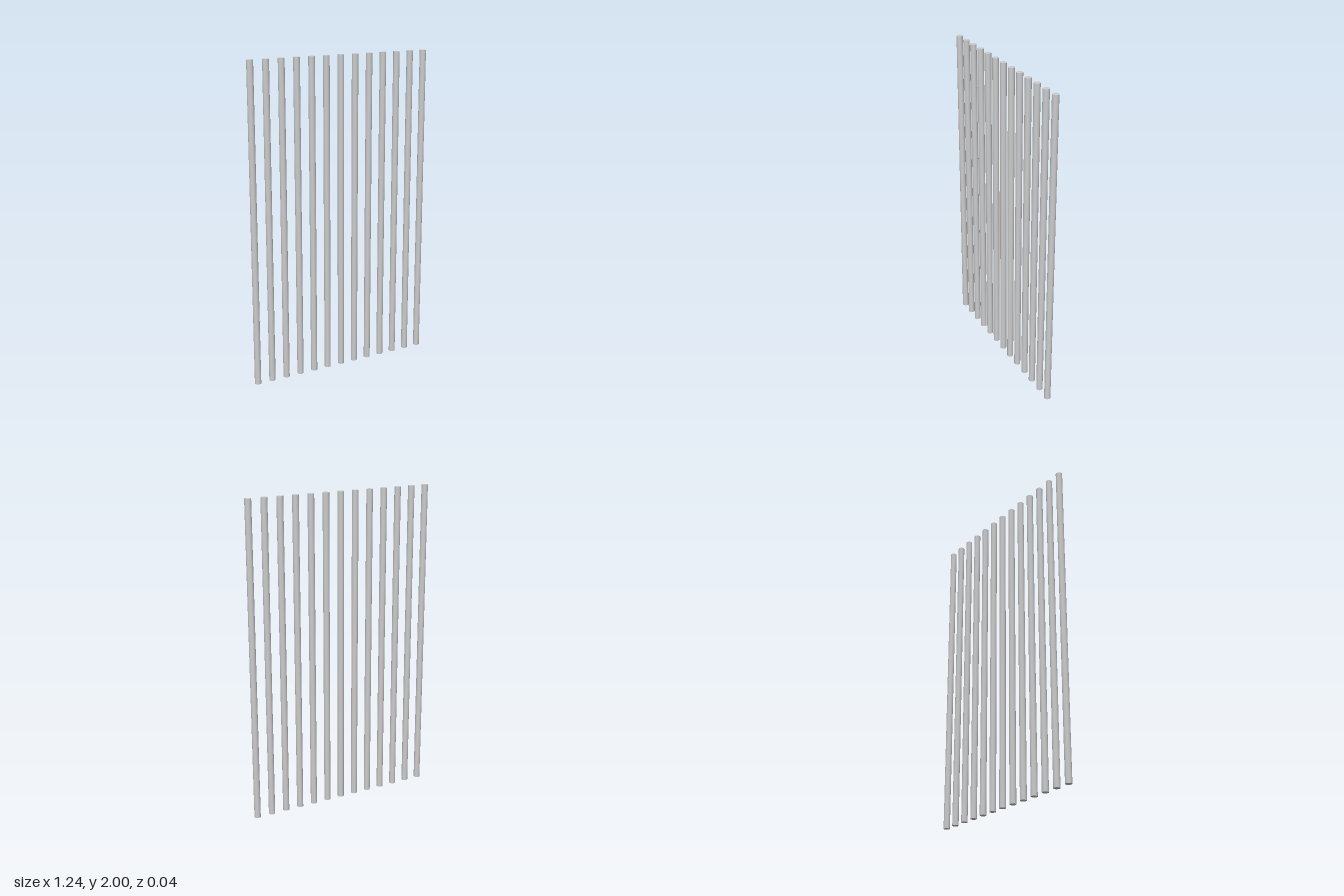
import * as THREE from 'three';

export function createModel() {
  const group = new THREE.Group();
  group.name = 'barGrille';

  const material = new THREE.MeshStandardMaterial({ color: 0xcccccc });
  const count = 13, spacing = 0.1, radius = 0.02, height = 2;

  // One round bar with closed ends, shared by the whole row
  const barGeometry = new THREE.CylinderGeometry(radius, radius, height, 32);

  // Evenly spaced row of upright bars, centred on x = 0
  for (let i = 0; i < count; i++) {
    const bar = new THREE.Mesh(barGeometry, material);
    bar.name = `bar${i + 1}`;
    bar.position.set((i - (count - 1) / 2) * spacing, height / 2, 0);
    group.add(bar);
  }

  return group;
}
